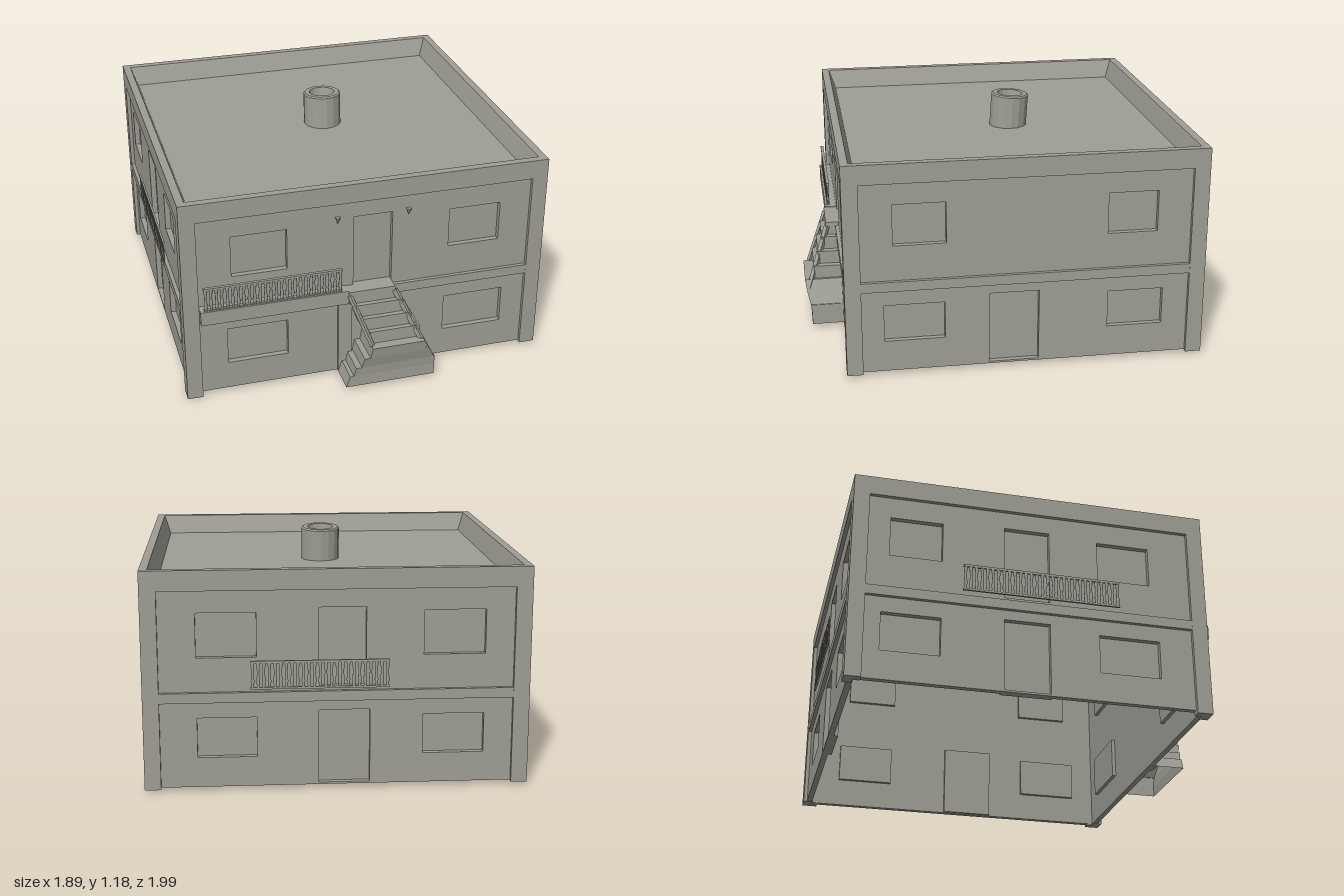
import * as THREE from 'three';

const HX = 0.94, HZ = 0.9, ZC = -0.08; // half width, half depth, centre of the house in z
const plaster = new THREE.MeshStandardMaterial({ color: 0xa09f96, side: THREE.DoubleSide });
plaster.name = 'greyPlaster';

function add(parent, name, geometry, x = 0, y = 0, z = 0) {
  const m = new THREE.Mesh(geometry, plaster);
  m.name = name;
  m.position.set(x, y, z);
  parent.add(m);
  return m;
}

// box given by its two corners
function block(parent, name, x0, x1, y0, y1, z0, z1) {
  return add(parent, name, new THREE.BoxGeometry(x1 - x0, y1 - y0, z1 - z0),
    (x0 + x1) / 2, (y0 + y1) / 2, (z0 + z1) / 2);
}

// flat-faced skin through rectangles [y, x0, x1, z0, z1], last one capped
function loft(rects) {
  const rings = rects.map(([y, x0, x1, z0, z1]) => [[x0, y, z1], [x1, y, z1], [x1, y, z0], [x0, y, z0]]);
  const pos = [];
  const quad = (a, b, c, d) => pos.push(...a, ...b, ...c, ...a, ...c, ...d);
  for (let r = 0; r + 1 < rings.length; r++) {
    for (let i = 0; i < 4; i++) {
      const j = (i + 1) % 4;
      quad(rings[r][i], rings[r][j], rings[r + 1][j], rings[r + 1][i]);
    }
  }
  quad(...rings[rings.length - 1]);
  const g = new THREE.BufferGeometry();
  g.setAttribute('position', new THREE.Float32BufferAttribute(pos, 3));
  g.computeVertexNormals();
  return g;
}

// wall facing local +z, with openings [u0, u1, y0, y1] closed by set-back plates
function wall(parent, name, half, openings) {
  const g = new THREE.Group();
  g.name = name;
  const h = half - 0.02;
  const shape = new THREE.Shape([[-h, 0.02], [h, 0.02], [h, 1], [-h, 1]].map(p => new THREE.Vector2(...p)));
  for (const [a, b, c, d] of openings) {
    shape.holes.push(new THREE.Path([[a, c], [a, d], [b, d], [b, c]].map(p => new THREE.Vector2(...p))));
    const plate = d - c > 0.3 ? 'doorPanel' : 'windowPanel';
    block(g, plate, a - 0.012, b + 0.012, c - 0.008, d + 0.012, -0.07, -0.048);
  }
  add(g, 'wallPanel', new THREE.ExtrudeGeometry(shape, { depth: 0.03, bevelEnabled: false }), 0, 0, -0.05);
  block(g, 'floorBand', -half + 0.06, half - 0.06, 0.45, 0.5, -0.03, -0.001);
  parent.add(g);
  return g;
}

// row of balusters between two rails
function railing(parent, u0, u1, y0, y1, z, r) {
  const g = new THREE.Group();
  g.name = 'railing';
  block(g, 'topRail', u0, u1, y1 - 0.012, y1, z - r, z + r);
  block(g, 'bottomRail', u0, u1, y0, y0 + 0.01, z - r, z + r);
  const n = Math.round((u1 - u0) / 0.028);
  const profile = [[0.6, 0], [1, 0.3], [0.6, 0.6], [1.1, 1]]
    .map(([k, t]) => new THREE.Vector2(k * 0.01, t * (y1 - y0 - 0.005)));
  const baluster = new THREE.LatheGeometry(profile, 6);
  baluster.scale(1, 1, r / 0.011);
  for (let i = 0; i <= n; i++) {
    add(g, 'baluster', baluster, u0 + 0.01 + (u1 - u0 - 0.02) * i / n, y0, z);
  }
  parent.add(g);
}

// square bar between two points
function beam(parent, name, a, b, t) {
  const p = new THREE.Vector3(...a), q = new THREE.Vector3(...b);
  const m = add(parent, name, new THREE.BoxGeometry(t, t, p.distanceTo(q)));
  m.position.copy(p).add(q).multiplyScalar(0.5);
  m.lookAt(q);
}

export function createModel() {
  const house = new THREE.Group();
  house.name = 'house';

  // four walls
  const front = wall(house, 'frontWall', HX, [
    [-0.69, -0.41, 0.67, 0.89], [0.43, 0.7, 0.67, 0.88],
    [-0.72, -0.41, 0.17, 0.37], [0.42, 0.74, 0.17, 0.37], [-0.07, 0.13, 0.52, 0.91]]);
  front.position.z = ZC + HZ;

  const back = wall(house, 'backWall', HX, [
    [-0.68, -0.39, 0.67, 0.89], [0.42, 0.72, 0.67, 0.89],
    [-0.68, -0.39, 0.17, 0.37], [0.42, 0.72, 0.17, 0.37],
    [-0.09, 0.14, 0.52, 0.91], [-0.09, 0.16, 0.03, 0.4]]);
  back.rotation.y = Math.PI;
  back.position.z = ZC - HZ;

  const leftSide = wall(house, 'leftWall', HZ, [
    [-0.66, -0.4, 0.68, 0.89], [0.4, 0.65, 0.68, 0.89],
    [-0.71, -0.41, 0.18, 0.37], [0.41, 0.69, 0.18, 0.37], [-0.19, 0.06, 0.03, 0.4]]);
  leftSide.rotation.y = Math.PI / 2;
  leftSide.position.set(HX, 0, ZC);

  const rightSide = wall(house, 'rightWall', HZ, [
    [-0.71, -0.45, 0.68, 0.89], [0.34, 0.61, 0.68, 0.89],
    [-0.74, -0.45, 0.17, 0.37], [0.34, 0.65, 0.17, 0.37],
    [-0.14, 0.09, 0.52, 0.91], [-0.14, 0.09, 0.03, 0.4]]);
  rightSide.rotation.y = -Math.PI / 2;
  rightSide.position.set(-HX, 0, ZC);

  // railings
  railing(back, -0.42, 0.25, 0.52, 0.66, 0.014, 0.005);
  railing(rightSide, -0.35, 0.44, 0.52, 0.66, 0.01, 0.005);
  railing(front, -0.84, -0.14, 0.52, 0.65, 0.022, 0.008);
  block(front, 'balconySlab', -0.86, -0.11, 0.45, 0.525, -0.03, 0.04);

  // corner pillars, L-shaped in plan
  for (const sx of [-1, 1]) {
    for (const sz of [-1, 1]) {
      const y0 = sx < 0 && sz > 0 ? 0 : 0.015;
      const p = new THREE.Group();
      p.name = 'cornerPillar';
      block(p, 'pillarFace', -0.08, 0, y0, 1, -0.045, 0);
      block(p, 'pillarReturn', -0.045, 0, y0, 1, -0.08, -0.045);
      p.rotation.y = sz > 0 ? (sx > 0 ? 0 : -Math.PI / 2) : (sx > 0 ? Math.PI / 2 : Math.PI);
      p.position.set(sx * HX, 0, ZC + sz * HZ);
      house.add(p);
    }
  }

  // parapet with sloped inner faces, and the roof floor
  const inset = (y, d) => [y, -HX + d, HX - d, ZC - HZ + d, ZC + HZ - d];
  add(house, 'parapetRoof', loft([inset(1, 0.03), inset(1, 0), inset(1.1, 0), inset(1.1, 0.04), inset(1.0, 0.075)]));
  block(house, 'ceiling', -0.9, 0.9, 0.95, 0.99, ZC - 0.86, ZC + 0.86);

  // hollow chimney
  const chimney = [[0.1, 0], [0.1, 0.175], [0.093, 0.182], [0.068, 0.182], [0.055, 0.08], [0, 0.08]]
    .map(p => new THREE.Vector2(...p));
  const flue = new THREE.LatheGeometry(chimney, 16).toNonIndexed();
  flue.computeVertexNormals();
  add(house, 'chimney', flue, 0.03, 0.99, -0.135).rotation.x = -0.06;

  // staircase: flared base, then slanting treads up to the landing
  const z0 = 0.79;
  const stairs = [
    [0.02, -0.15, 0.32, z0, 0.965], [0.08, -0.13, 0.32, z0, 0.965],
    [0.08, -0.11, 0.32, z0, 0.965], [0.13, -0.1, 0.32, z0, 0.97],
    [0.13, -0.07, 0.315, z0, 0.97], [0.19, -0.06, 0.285, z0, 0.985],
    [0.19, -0.03, 0.285, z0, 0.985], [0.25, -0.02, 0.255, z0, 0.995]];
  const steps = 4;
  for (let i = 0; i < steps; i++) {
    const t = i / (steps - 1), y = 0.25 + i * 0.068;
    const row = [-0.02 - 0.09 * t, 0.24 - 0.11 * t, z0, 0.945 - 0.075 * t];
    stairs.push([y, ...row], [y + 0.068, ...row]);
  }
  add(house, 'staircase', loft(stairs));
  beam(house, 'stairStringer', [0.13, 0.5, 0.865], [0.265, 0.2, 0.975], 0.022);
  beam(house, 'stairStringer', [-0.105, 0.5, 0.865], [-0.015, 0.25, 0.965], 0.018);
  block(house, 'stairSideWall', -0.15, -0.08, 0.02, 0.45, 0.78, 0.815);

  // small wall lamps beside the upper door
  for (const x of [-0.155, 0.21]) {
    add(house, 'wallLamp', new THREE.ConeGeometry(0.014, 0.035, 6), x, 0.905, 0.808).rotation.x = Math.PI;
  }
  return house;
}
